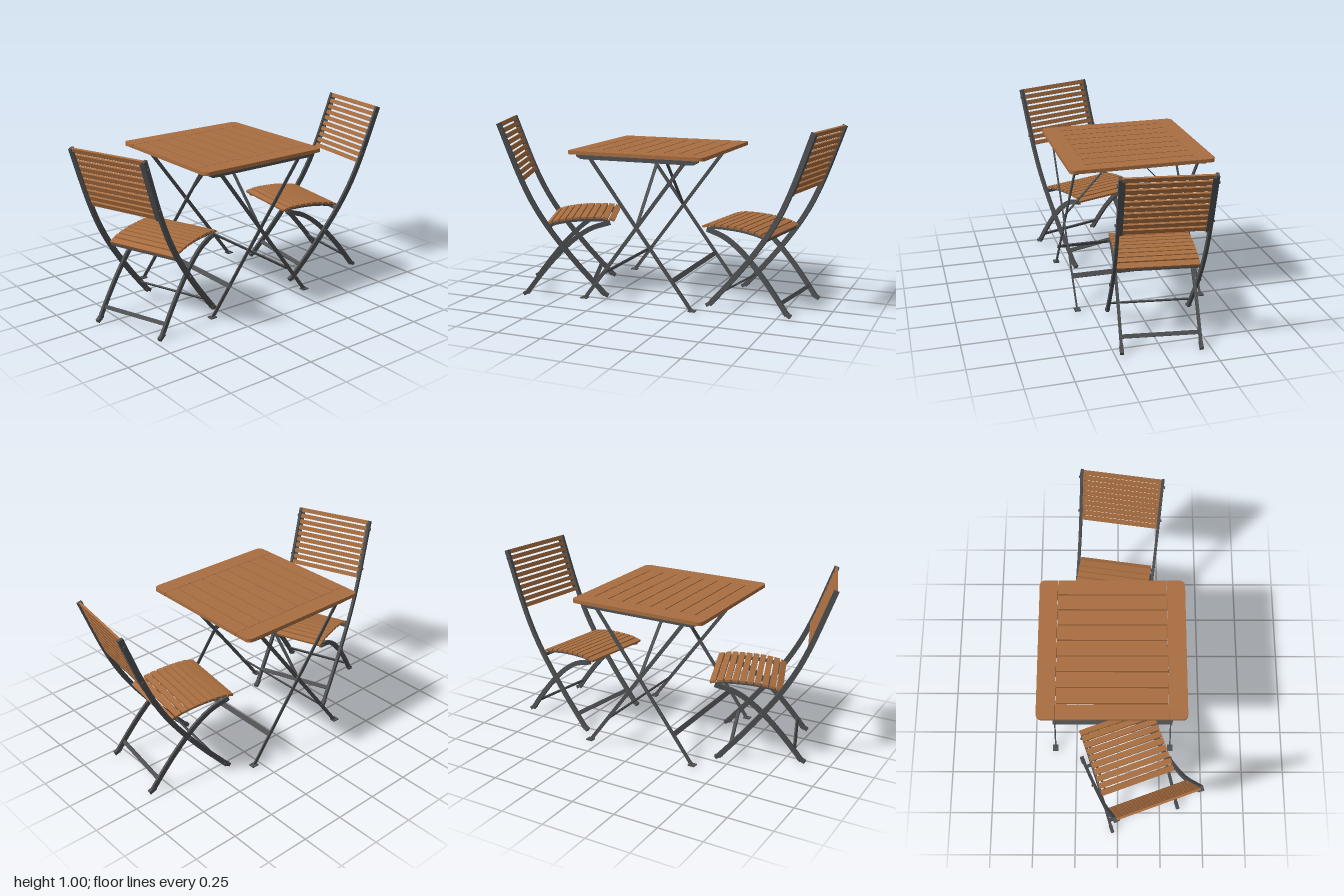
import * as THREE from 'three';

const wood = new THREE.MeshStandardMaterial({ color: 0xa96e40 });
wood.name = 'wood';
const metal = new THREE.MeshStandardMaterial({ color: 0x4e5052 });
metal.name = 'dark metal';

function add(parent, name, geometry, material, x = 0, y = 0, z = 0, rx = 0) {
  const mesh = new THREE.Mesh(geometry, material);
  mesh.name = name;
  mesh.position.set(x, y, z);
  mesh.rotation.x = rx;
  parent.add(mesh);
  return mesh;
}

const box = (w, h, d) => new THREE.BoxGeometry(w, h, d);

// Smooth side profile through [z, y] points
const profile = (pts) => new THREE.CatmullRomCurve3(pts.map(([z, y]) => new THREE.Vector3(0, y, z)));
const tilt = (t) => -Math.atan2(t.y, t.z);

// Flat bar of given thickness bent along a profile, extruded sideways
function bentBar(curve, thick, width, from = 0, to = 1, offset = 0, n = 20) {
  const upper = [], lower = [];
  for (let i = 0; i <= n; i++) {
    const u = from + (to - from) * i / n;
    const p = curve.getPointAt(u), t = curve.getTangentAt(u);
    const at = (k) => new THREE.Vector2(p.z - t.y * k, p.y + t.z * k);
    upper.push(at(offset + thick / 2));
    lower.unshift(at(offset - thick / 2));
  }
  const geo = new THREE.ExtrudeGeometry(new THREE.Shape([...upper, ...lower]), { depth: width, bevelEnabled: false });
  geo.translate(0, 0, -width / 2);
  return geo.rotateY(-Math.PI / 2);
}

// Curve parameter at a height, for a profile that rises
function paramAtHeight(curve, y) {
  let a = 0, b = 1;
  for (let i = 0; i < 30; i++) {
    const m = (a + b) / 2;
    if (curve.getPointAt(m).y < y) a = m; else b = m;
  }
  return a;
}

// Straight flat strap between two points lying in a plane of constant x
function strap(parent, name, x, [z1, y1], [z2, y2], w, t) {
  const len = Math.hypot(z2 - z1, y2 - y1);
  return add(parent, name, box(w, t, len), metal, x, (y1 + y2) / 2, (z1 + z2) / 2, -Math.atan2(y2 - y1, z2 - z1));
}

function bolt(parent, x, y, z) {
  add(parent, 'bolt', new THREE.CylinderGeometry(0.007, 0.007, 0.01, 10), metal, x, y, z).rotation.z = Math.PI / 2;
}

// Folding chair: z runs from the front feet towards the back
function createChair(name) {
  const chair = new THREE.Group();
  chair.name = name;
  const rail = profile([[0, 0.012], [0.165, 0.2], [0.318, 0.4], [0.403, 0.54], [0.468, 0.68], [0.585, 0.995]]);
  const leg = profile([[-0.03, 0.43], [0.08, 0.395], [0.18, 0.328], [0.285, 0.225], [0.375, 0.118], [0.455, 0.012]]);
  const seat = profile([[-0.06, 0.442], [0, 0.455], [0.1, 0.457], [0.2, 0.45], [0.3, 0.43], [0.335, 0.412]]);
  const low = paramAtHeight(rail, 0.665), high = paramAtHeight(rail, 0.985);

  for (const s of [-1, 1]) {
    add(chair, 'backRail', bentBar(rail, 0.028, 0.016), metal, s * 0.229);
    add(chair, 'rearLeg', bentBar(leg, 0.027, 0.014), metal, s * 0.207);
    add(chair, 'slatBracket', bentBar(rail, 0.006, 0.016, low, high, -0.011), metal, s * 0.214);
    add(chair, 'seatSideBar', bentBar(seat, 0.018, 0.012, 0.1, 0.97, -0.015), metal, s * 0.188);
    add(chair, 'frontFoot', box(0.024, 0.02, 0.045), metal, s * 0.229, 0.016, 0.002, -0.5);
    add(chair, 'rearFoot', box(0.02, 0.02, 0.045), metal, s * 0.207, 0.016, 0.455, 0.5);
    for (const y of [0.28, 0.72, 0.95]) {
      const p = rail.getPointAt(paramAtHeight(rail, y));
      bolt(chair, s * 0.24, y, p.z);
    }
    bolt(chair, s * 0.217, 0.425, -0.015);
  }

  // Seat slats
  const seatCount = 10;
  for (let i = 0; i < seatCount; i++) {
    const u = (i + 0.5) / seatCount;
    const p = seat.getPointAt(u);
    add(chair, 'seatSlat', box(0.43, 0.013, 0.033), wood, 0, p.y, p.z, tilt(seat.getTangentAt(u)));
  }

  // Backrest slats
  for (let i = 0; i < 10; i++) {
    const u = paramAtHeight(rail, 0.676 + i * 0.0342);
    const p = rail.getPointAt(u);
    add(chair, 'backSlat', box(0.442, 0.012, 0.025), wood, 0, p.y, p.z, tilt(rail.getTangentAt(u)));
  }

  // Cross bars
  add(chair, 'rearCrossBar', box(0.41, 0.022, 0.008), metal, 0, 0.07, 0.413, -0.6);
  add(chair, 'frontCrossBar', box(0.45, 0.008, 0.024), metal, 0, 0.085, 0.065, -0.7);
  add(chair, 'seatCrossBar', box(0.45, 0.018, 0.012), metal, 0, 0.402, 0.314);
  return chair;
}

function createTable() {
  const table = new THREE.Group();
  table.name = 'table';

  // End boards with rounded outer corners
  const r = 0.03, h = 0.4, w = 0.1;
  const board = new THREE.Shape();
  board.moveTo(0, -h);
  board.lineTo(w - r, -h);
  board.absarc(w - r, -h + r, r, -Math.PI / 2, 0);
  board.absarc(w - r, h - r, r, 0, Math.PI / 2);
  board.lineTo(0, h);
  const boardGeo = new THREE.ExtrudeGeometry(board, { depth: 0.02, bevelEnabled: false, curveSegments: 5 });
  boardGeo.rotateX(Math.PI / 2);
  for (const s of [-1, 1]) {
    add(table, 'endBoard', boardGeo, wood, s * 0.301, 0.855, 0).rotation.y = s < 0 ? Math.PI : 0;
  }

  // Top slats
  for (let i = -4; i <= 4; i++) add(table, 'topSlat', box(0.598, 0.02, 0.083), wood, 0, 0.845, i * 0.0896);
  add(table, 'centreBeam', box(0.03, 0.012, 0.72), metal, 0, 0.829, 0);

  // Side runners with tapered ends
  const runner = new THREE.Shape([[-0.357, 0.835], [-0.357, 0.822], [-0.33, 0.807], [0.33, 0.807], [0.357, 0.822], [0.357, 0.835]]
    .map(([z, y]) => new THREE.Vector2(z, y)));
  const runnerGeo = new THREE.ExtrudeGeometry(runner, { depth: 0.024, bevelEnabled: false });
  runnerGeo.translate(0, 0, -0.012).rotateY(-Math.PI / 2);

  for (const s of [-1, 1]) {
    add(table, 'sideRunner', runnerGeo, metal, s * 0.355);
    // Crossed legs, one outside the other
    for (const [k, x] of [[1, 0.362], [-1, 0.348]]) {
      strap(table, 'tableLeg', s * x, [k * 0.275, 0.815], [-k * 0.325, 0.012], 0.007, 0.02);
      add(table, 'tableFoot', box(0.034, 0.006, 0.04), metal, s * x, 0.013, -k * 0.328);
    }
    bolt(table, s * 0.355, 0.45, 0);
    // Diagonal brace up to the centre beam
    const dx = 0.335, dy = 0.365;
    const brace = add(table, 'brace', box(0.005, Math.hypot(dx, dy), 0.018), metal, s * (0.01 + dx / 2), 0.46 + dy / 2, 0);
    brace.rotation.z = s * Math.atan2(dx, dy);
  }

  // Lower stretchers lying in the plane of the legs
  for (const k of [-1, 1]) {
    add(table, 'stretcher', box(0.72, 0.028, 0.007), metal, 0, 0.165, k * 0.211, -k * 0.64);
  }
  table.position.set(-0.03, 0, 0.025);
  return table;
}

export function createModel() {
  const model = new THREE.Group();
  model.name = 'foldingTableAndChairs';
  const frontChair = createChair('frontChair');
  frontChair.position.set(0.003, 0, 0.35);
  frontChair.rotation.y = 0.35;
  const backChair = createChair('backChair');
  backChair.position.set(-0.057, 0, -0.378);
  backChair.rotation.y = Math.PI - 0.14;
  model.add(createTable(), frontChair, backChair);
  return model;
}
